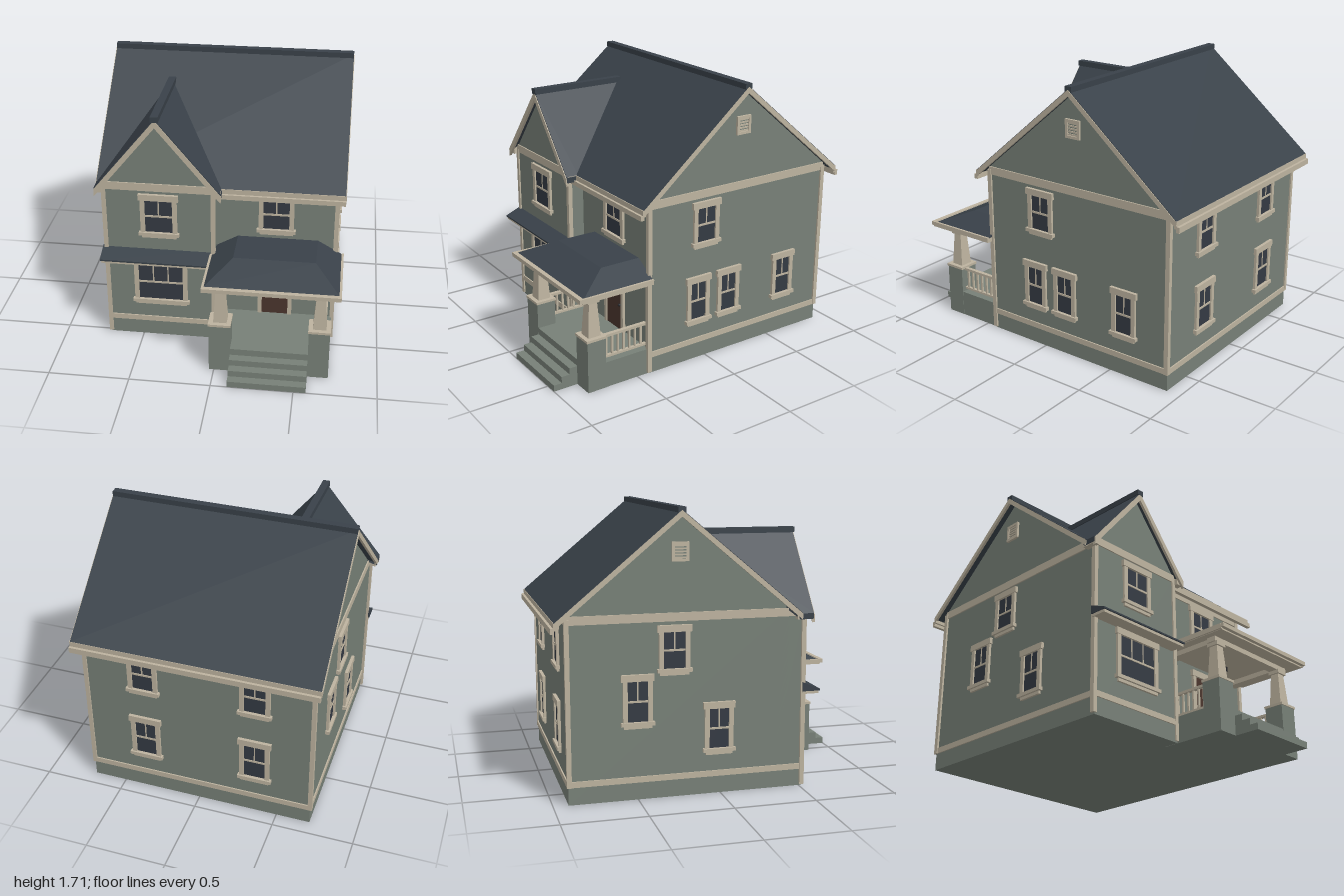
import * as THREE from 'three';

const mat = (name, color) => Object.assign(new THREE.MeshStandardMaterial({ color }), { name });

export function createModel() {
  const siding = mat('sage siding', 0x778077);
  const trim = mat('cream trim', 0xbdb39f);
  const roofing = mat('slate roofing', 0x394149);
  const glass = mat('dark glass', 0x343a43);
  const wood = mat('brown door', 0x4a352d);
  const metal = mat('black metal', 0x24262a);

  const house = new THREE.Group();
  house.name = 'house';
  const add = (name, geo, m, parent = house) => {
    const mesh = new THREE.Mesh(geo, m);
    mesh.name = name;
    parent.add(mesh);
    return mesh;
  };
  // Box given by its limits on each axis
  const box = (name, m, x0, x1, y0, y1, z0, z1, parent) => {
    const g = new THREE.BoxGeometry(x1 - x0, y1 - y0, z1 - z0);
    g.translate((x0 + x1) / 2, (y0 + y1) / 2, (z0 + z1) / 2);
    return add(name, g, m, parent);
  };
  // Profiles extruded along z, or along x with the profile drawn in (z, y)
  const alongZ = (pts, z0, z1) => new THREE.ExtrudeGeometry(
    new THREE.Shape(pts.map(p => new THREE.Vector2(...p))), { depth: z1 - z0, bevelEnabled: false }).translate(0, 0, z0);
  const alongX = (pts, x0, x1) => alongZ(pts, 0, x1 - x0).rotateY(-Math.PI / 2).translate(x1, 0, 0);
  const chevron = (c, top, half, rise, t) => [[c, top], [c - half, top - rise], [c - half, top - rise - t],
    [c, top - t], [c + half, top - rise - t], [c + half, top - rise]];
  // Solid between two matching loops, counter-clockwise from above
  const loft = (bottom, top) => {
    const v = [], n = top.length;
    const tri = (a, b, c) => v.push(...a, ...b, ...c);
    for (let i = 0; i < n; i++) {
      const j = (i + 1) % n;
      tri(bottom[i], bottom[j], top[j]);
      tri(bottom[i], top[j], top[i]);
      if (i > 0 && i < n - 1) {
        tri(top[0], top[i], top[i + 1]);
        tri(bottom[0], bottom[i + 1], bottom[i]);
      }
    }
    const g = new THREE.BufferGeometry();
    g.setAttribute('position', new THREE.Float32BufferAttribute(v, 3));
    g.computeVertexNormals();
    return g;
  };
  const slab = (pts, t) => loft(pts.map(([x, y, z]) => [x, y - t, z]), pts);

  // Walls
  add('mainWalls', alongX([[-0.91, 0], [0.42, 0], [0.42, 1.1], [-0.245, 1.66], [-0.91, 1.1]], -0.71, 0.705), siding);
  add('frontWingWalls', alongZ([[-0.71, 0], [-0.035, 0], [-0.035, 1.09], [-0.375, 1.505], [-0.71, 1.09]], 0.3, 0.52), siding);

  // Water table and frieze bands
  for (const [name, y0, y1] of [['waterTable', 0.105, 0.14], ['frieze', 1.05, 1.1]]) {
    box(name + 'Right', trim, 0.7, 0.713, y0, y1, -0.91, 0.42);
    box(name + 'Left', trim, -0.718, -0.7, y0, y1, -0.91, 0.52);
    box(name + 'Back', trim, -0.71, 0.705, y0, y1, -0.918, -0.9);
    box(name + 'Wing', trim, -0.71, -0.035, y0, y1, 0.51, 0.528);
    box(name + 'WingSide', trim, -0.04, -0.027, y0, y1, 0.42, 0.52);
  }
  box('friezeFront', trim, -0.03, 0.705, 1.03, 1.09, 0.41, 0.428);

  // Corner boards
  for (const [x, z, y0] of [[0.703, 0.42, 0.01], [0.703, -0.905, 0.105], [-0.71, -0.905, 0.105], [-0.712, 0.515, 0.01], [-0.042, 0.515, 0.01]])
    box('cornerBoard', trim, x - 0.013, x + 0.013, y0, 1.08, z - 0.014, z + 0.014);

  // Main roof with barge boards, fascias and gutters
  add('mainRoof', alongX(chevron(-0.245, 1.69, 0.735, 0.615, 0.035), -0.76, 0.75), roofing);
  for (const [x0, x1] of [[-0.764, -0.748], [0.738, 0.754]])
    add('bargeBoard', alongX(chevron(-0.245, 1.686, 0.735, 0.615, 0.037), x0, x1), trim);
  box('mainRidgeCap', roofing, -0.76, 0.75, 1.672, 1.705, -0.268, -0.222);
  box('backFascia', trim, -0.76, 0.752, 1.03, 1.075, -0.983, -0.965);
  box('backGutter', trim, -0.76, 0.752, 1.01, 1.045, -1.0, -0.978);
  box('frontFascia', trim, 0, 0.752, 1.035, 1.075, 0.475, 0.495);
  box('frontGutter', trim, -0.03, 0.752, 1.015, 1.045, 0.485, 0.51);

  // Front gable roof, cut where it meets the main slope
  const rf = [-0.375, 1.54, 0.56], rb = [-0.375, 1.54, -0.07];
  add('gableRoofLeft', slab([[-0.76, 1.07, 0.56], rf, rb, [-0.76, 1.07, 0.476]], 0.035), roofing);
  add('gableRoofRight', slab([rf, [0.01, 1.07, 0.56], [0.01, 1.07, 0.476], rb], 0.035), roofing);
  add('gableBargeBoard', alongZ(chevron(-0.375, 1.533, 0.385, 0.47, 0.048), 0.548, 0.565), trim);
  box('gableRidgeCap', roofing, -0.398, -0.352, 1.52, 1.555, -0.07, 0.566);
  for (const x of [-0.735, -0.012]) box('eaveReturn', trim, x - 0.02, x + 0.02, 1.035, 1.075, 0.46, 0.55);

  // Pent roof over the lower front window
  add('pentRoof', loft(
    [[-0.735, 0.592, 0.62], [-0.06, 0.592, 0.62], [-0.06, 0.592, 0.51], [-0.735, 0.592, 0.51]],
    [[-0.735, 0.602, 0.62], [-0.06, 0.602, 0.62], [-0.06, 0.647, 0.51], [-0.735, 0.647, 0.51]]), roofing);
  box('pentFascia', trim, -0.73, -0.065, 0.575, 0.593, 0.51, 0.612);

  // Sash window centred at its glass, facing +z before turning
  const windowUnit = (name, x, y, z, turn, w, h, panes = 2) => {
    const g = new THREE.Group();
    g.name = name;
    const a = w / 2, b = h / 2, c = 0.028;
    box('glass', glass, -a, a, -b, b, -0.002, 0.006, g);
    for (const s of [-1, 1]) box('sideCasing', trim, s * (a + c / 2) - c / 2, s * (a + c / 2) + c / 2, -b, b, -0.005, 0.016, g);
    box('header', trim, -a - c - 0.01, a + c + 0.01, b, b + 0.04, -0.005, 0.02, g);
    box('sill', trim, -a - c - 0.012, a + c + 0.012, -b - 0.022, -b, -0.005, 0.026, g);
    box('apron', trim, -a - c + 0.005, a + c - 0.005, -b - 0.04, -b - 0.022, -0.005, 0.014, g);
    box('meetingRail', trim, -a, a, -0.006, 0.006, -0.002, 0.011, g);
    for (let i = 1; i < panes; i++) {
      const mx = -a + w * i / panes;
      box('muntin', trim, mx - 0.004, mx + 0.004, 0, b, -0.002, 0.009, g);
    }
    g.position.set(x, y, z);
    g.rotation.y = turn;
    house.add(g);
  };
  const Q = Math.PI / 2;
  windowUnit('wingUpperWindow', -0.375, 0.88, 0.52, 0, 0.17, 0.22);
  windowUnit('wingLowerWindow', -0.375, 0.405, 0.52, 0, 0.28, 0.25, 3);
  windowUnit('frontUpperWindow', 0.336, 0.885, 0.42, 0, 0.16, 0.2);
  windowUnit('rightUpperWindow', 0.705, 0.882, 0.015, Q, 0.13, 0.215);
  for (const z of [0.065, -0.165, -0.605]) windowUnit('rightLowerWindow', 0.705, 0.395, z, Q, 0.11, 0.24);
  windowUnit('leftUpperWindow', -0.71, 0.882, -0.28, -Q, 0.13, 0.215);
  windowUnit('leftLowerWindow', -0.71, 0.4, -0.01, -Q, 0.12, 0.24);
  windowUnit('leftStairWindow', -0.71, 0.59, -0.5, -Q, 0.12, 0.24);
  for (const x of [0.335, -0.36]) {
    windowUnit('backUpperWindow', x, 0.882, -0.91, Math.PI, 0.13, 0.215);
    windowUnit('backLowerWindow', x, 0.4, -0.91, Math.PI, 0.13, 0.24);
  }

  // Louvred attic vents on both gable ends
  for (const [x, turn] of [[0.705, Q], [-0.71, -Q]]) {
    const g = new THREE.Group();
    g.name = 'atticVent';
    box('ventBack', siding, -0.04, 0.04, -0.045, 0.045, -0.002, 0.005, g);
    for (const s of [-1, 1]) {
      box('ventSide', trim, s * 0.043 - 0.008, s * 0.043 + 0.008, -0.056, 0.056, -0.002, 0.015, g);
      box('ventRail', trim, -0.04, 0.04, s * 0.048 - 0.008, s * 0.048 + 0.008, -0.002, 0.015, g);
    }
    for (let i = -2; i <= 2; i++) box('louvre', trim, -0.038, 0.038, i * 0.017 - 0.005, i * 0.017 + 0.005, 0, 0.01, g);
    g.position.set(x, 1.45, -0.245);
    g.rotation.y = turn;
    house.add(g);
  }

  // Front door
  box('door', wood, 0.255, 0.42, 0.165, 0.53, 0.41, 0.429);
  box('doorCasingLeft', trim, 0.42, 0.445, 0.165, 0.53, 0.41, 0.438);
  box('doorCasingRight', trim, 0.23, 0.255, 0.165, 0.53, 0.41, 0.438);
  box('doorHeader', trim, 0.22, 0.455, 0.53, 0.57, 0.41, 0.442);
  add('doorKnob', new THREE.SphereGeometry(0.009, 10, 8).translate(0.402, 0.335, 0.436), metal);

  // Porch base and steps
  box('porchDeck', siding, -0.03, 0.7, 0, 0.163, 0.41, 0.84);
  [[0.12, 0.893], [0.08, 0.947], [0.04, 1.0]].forEach(([y, z]) => box('step', siding, 0.1, 0.575, 0, y, 0.83, z));

  // Piers, tapered columns and railings
  for (const [x0, x1, cx, rx] of [[-0.03, 0.1, 0.037, 0.01], [0.575, 0.702, 0.638, 0.665]]) {
    box('pier', siding, x0, x1, 0, 0.323, 0.72, 0.842);
    box('pierCap', trim, x0 - 0.004, x1 + 0.004, 0.323, 0.338, 0.714, 0.848);
    add('column', new THREE.CylinderGeometry(0.027 * Math.SQRT2, 0.041 * Math.SQRT2, 0.215, 4)
      .toNonIndexed().rotateY(Math.PI / 4).translate(cx, 0.445, 0.78), trim).geometry.computeVertexNormals();
    box('columnCapital', trim, cx - 0.038, cx + 0.038, 0.55, 0.575, 0.742, 0.818);
    box('sideBeam', trim, cx - 0.03, cx + 0.03, 0.572, 0.606, 0.42, 0.81);
    box('topRail', trim, rx - 0.012, rx + 0.012, 0.312, 0.328, 0.42, 0.725);
    box('bottomRail', trim, rx - 0.01, rx + 0.01, 0.178, 0.192, 0.42, 0.725);
    for (let i = 0; i < 7; i++) {
      const z = 0.455 + i * 0.04;
      box('baluster', trim, rx - 0.006, rx + 0.006, 0.19, 0.314, z - 0.006, z + 0.006);
    }
  }
  box('frontBeam', trim, -0.01, 0.69, 0.572, 0.606, 0.75, 0.81);

  // Porch roof: eave slab, gutter lip and hipped top
  box('porchEave', trim, -0.052, 0.746, 0.603, 0.632, 0.42, 0.895);
  box('porchGutter', trim, -0.062, 0.756, 0.612, 0.637, 0.89, 0.918);
  for (const x of [-0.056, 0.75]) box('porchSideGutter', trim, x - 0.007, x + 0.007, 0.606, 0.637, 0.42, 0.9);
  add('porchRoof', loft(
    [[-0.05, 0.632, 0.885], [0.744, 0.632, 0.885], [0.744, 0.632, 0.42], [-0.05, 0.632, 0.42]],
    [[0.1, 0.717, 0.68], [0.595, 0.717, 0.68], [0.595, 0.717, 0.42], [0.1, 0.717, 0.42]]), roofing);

  // Hanging porch lantern
  box('lanternStem', metal, 0.332, 0.34, 0.565, 0.606, 0.596, 0.604);
  box('lantern', metal, 0.322, 0.35, 0.538, 0.57, 0.586, 0.614);

  return house;
}
